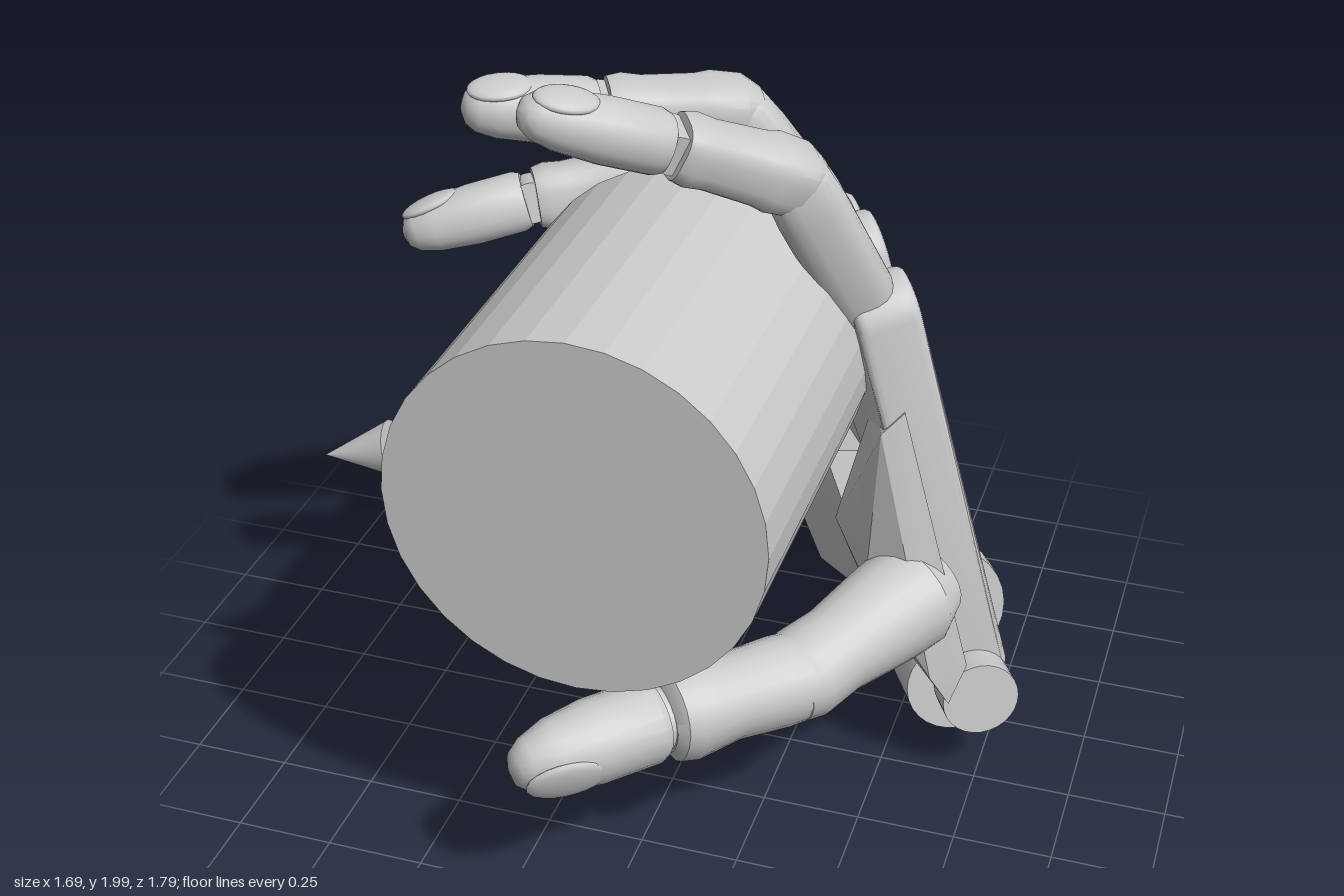
import * as THREE from 'three';
import { toCreasedNormals } from 'three/addons/utils/BufferGeometryUtils.js';
import { ConvexGeometry } from 'three/addons/geometries/ConvexGeometry.js';

const V3 = (x, y, z) => new THREE.Vector3(x, y, z);
const mat = new THREE.MeshStandardMaterial({ color: 0xcccccc });
const flatMat = new THREE.MeshStandardMaterial({ color: 0xcccccc, flatShading: true });

// Palm frame: u across (towards index side), v up the hand, n out of the palm
const O = V3(0.837, 0.3, -0.05);
const V = V3(-0.273, 0.957, 0.02).normalize();
const U = V3(0.45, 0.13, 0.88);
U.addScaledVector(V, -U.dot(V)).normalize();
const N = U.clone().cross(V);
const palmMatrix = new THREE.Matrix4().makeBasis(U, V, N).setPosition(O);

function mesh(name, geo, parent, material = mat) {
  const m = new THREE.Mesh(geo, material);
  m.name = name;
  parent.add(m);
  return m;
}

// Axes of a limb: z along it, y towards its back
function limbBasis(a, b, back) {
  const z = b.clone().sub(a).normalize();
  const y = back.clone().addScaledVector(z, -back.dot(z)).normalize();
  return { x: y.clone().cross(z), y, z };
}

// Loft of rounded-square sections; stations are [t, half width, half height]
function limb(name, a, b, back, stations, parent, power = 0.65) {
  const { x, y } = limbBasis(a, b, back);
  const sides = 20, pos = [], idx = [];
  const sq = (c) => Math.sign(c) * Math.pow(Math.abs(c), power);
  for (const [t, w, h] of stations) {
    const c = a.clone().lerp(b, t);
    for (let j = 0; j < sides; j++) {
      const q = ((j + 0.5) / sides) * Math.PI * 2;
      pos.push(...c.clone().addScaledVector(x, w * sq(Math.cos(q))).addScaledVector(y, h * sq(Math.sin(q))).toArray());
    }
  }
  const last = (stations.length - 1) * sides, c0 = pos.length / 3;
  for (const st of [stations[0], stations[stations.length - 1]]) pos.push(...a.clone().lerp(b, st[0]).toArray());
  for (let j = 0; j < sides; j++) {
    const k = (j + 1) % sides;
    for (let r = 0; r < last; r += sides) idx.push(r + j, r + k, r + sides + k, r + j, r + sides + k, r + sides + j);
    idx.push(c0, k, j, c0 + 1, last + j, last + k);
  }
  const g = new THREE.BufferGeometry();
  g.setAttribute('position', new THREE.Float32BufferAttribute(pos, 3));
  g.setIndex(idx);
  return mesh(name, toCreasedNormals(g, 0.6), parent);
}

function barrel(name, at, axis, r, len, parent) {
  const m = mesh(name, toCreasedNormals(new THREE.CylinderGeometry(r, r, len, 28), 0.6), parent);
  m.position.copy(at);
  m.quaternion.setFromUnitVectors(V3(0, 1, 0), axis);
  return m;
}

// Thin rounded nail sunk into the back of a tip
function nail(a, b, back, t, height, width, length, parent) {
  const { x, y, z } = limbBasis(a, b, back);
  const m = mesh('nail', new THREE.SphereGeometry(0.5, 20, 12), parent);
  m.scale.set(width, 0.04, length);
  m.quaternion.setFromRotationMatrix(new THREE.Matrix4().makeBasis(x, y, z));
  m.rotateX(0.16);
  m.position.copy(a).lerp(b, t).addScaledVector(y, height);
}

// Finger: knuckle, two beveled links and a rounded tip with a nail
function finger(name, pts, r) {
  const g = new THREE.Group();
  g.name = name;
  const [k, p, d, tip] = pts;
  const back = p.clone().sub(k.clone().lerp(tip, 0.5));
  const side = limbBasis(k, p, back).x;
  barrel('knuckle', k, side, r * 0.55, r * 1.4, g);
  limb('lowerLink', k, p, back, [[0.04, r * 0.6, r * 0.6], [0.12, r * 0.85, r * 0.8], [0.25, r, r * 0.95],
    [0.82, r * 0.93, r * 0.95], [1, r * 0.9, r * 0.88], [1.08, r * 0.7, r * 0.6]], g);
  limb('middleLink', p, d, back, [[-0.2, r * 0.6, r * 0.6], [-0.06, r * 0.9, r * 0.87], [0.18, r * 0.95, r * 0.93], [0.3, r * 0.86, r * 0.86],
    [0.7, r * 0.8, r * 0.8], [0.85, r * 0.86, r * 0.84], [0.96, r * 0.78, r * 0.76]], g);
  barrel('tipJoint', d, side, r * 0.55, r * 1.1, g);
  limb('fingertip', d, tip, back, [[0.04, r * 0.72, r * 0.72], [0.1, r * 0.82, r * 0.8], [0.45, r * 0.84, r * 0.8],
    [0.75, r * 0.76, r * 0.7], [0.9, r * 0.62, r * 0.55], [0.97, r * 0.42, r * 0.36], [1, r * 0.1, r * 0.1]], g, 0.88);
  nail(d, tip, back, 0.74, r * 0.58, r * 1.2, r * 1.65, g);
  return g;
}

function palm() {
  const g = new THREE.Group();
  g.name = 'palm';
  palmMatrix.decompose(g.position, g.quaternion, g.scale);

  // Back plate with three rounded knuckle columns, wrist tabs and slots
  const s = new THREE.Shape();
  s.moveTo(0, 0);
  [[-0.1, 0.1, 1.07, 0.9], [-0.38, 0.105, 1.115, 0.93], [-0.62, 0.1, 1.08, 0.62]].forEach(([u, r, v, after], i) => {
    if (i > 0) s.lineTo(u + r, 0.92);
    s.absarc(u, v, r, 0, Math.PI, false);
    s.lineTo(u - r, after);
  });
  [[-0.88, 0.42], [-0.9, 0], [-0.81, 0], [-0.81, 0.16], [-0.69, 0.16], [-0.69, 0], [-0.57, 0], [-0.57, 0.06],
    [-0.26, 0.06], [-0.26, 0], [-0.18, 0], [-0.18, 0.16], [-0.09, 0.16], [-0.09, 0]].forEach(([u, v]) => s.lineTo(u, v));
  const plate = new THREE.ExtrudeGeometry(s, { depth: 0.11, bevelThickness: 0.025, bevelSize: 0.02, bevelOffset: -0.02, bevelSegments: 3, curveSegments: 14 });
  mesh('backPlate', toCreasedNormals(plate, 0.6), g).position.z = 0.025;

  // Wrist: axle, rounded lugs and the large disc
  const X = V3(1, 0, 0);
  barrel('wristAxle', V3(-0.46, 0, 0.1), X, 0.06, 0.8, g);
  [[-0.048, 0.1, 0.09], [-0.18, 0.135, 0.15], [-0.63, 0.135, 0.11], [-0.81, 0.135, 0.16]]
    .forEach(([u, r, w]) => barrel('wristLug', V3(u, -0.015, r + 0.003), X, r, w, g));
  barrel('wristDisc', V3(-0.5, -0.011, 0.1), X, 0.197, 0.07, g);

  // Fleshy pads below the thumb and the little finger
  const hull = (name, pts) => mesh(name, toCreasedNormals(new ConvexGeometry(pts.map((p) => V3(...p))), 0.5), g);
  hull('thumbPad', [[-0.01, 0.84, 0.1], [-0.02, 0.8, 0.17], [-0.28, 0.78, 0.12], [-0.01, 0.45, 0.13], [-0.02, 0.38, 0.23], [0.03, 0.12, 0.12],
    [0.03, 0.12, 0.22], [0.02, 0.02, 0.19], [-0.3, 0.15, 0.27], [-0.3, 0.15, 0.1], [-0.27, 0.48, 0.31], [-0.08, 0.38, 0.3], [-0.12, 0.65, 0.24]]);
  hull('heelPad', [[-0.92, 0.1, 0.06], [-0.94, 0.42, 0.07], [-0.88, 0.02, 0.33], [-0.86, 0.34, 0.36], [-0.4, 0.06, 0.22],
    [-0.4, 0.28, 0.26], [-0.4, 0.08, 0.1], [-0.5, 0.48, 0.08], [-0.6, 0.5, 0.26], [-0.85, 0.05, 0.1]]);
  return g;
}

function thumb() {
  const g = new THREE.Group();
  g.name = 'thumb';
  const b = V3(0.555, 0.55, 0.0), m = V3(0.355, 0.49, 0.33), i = V3(0.08, 0.495, 0.6), t = V3(-0.19, 0.485, 0.875);
  const back = V3(0.5, -0.35, 0.6);
  limb('lowerLink', b, m, back, [[-0.2, 0.1, 0.1], [0, 0.15, 0.135], [0.25, 0.14, 0.13], [0.7, 0.115, 0.11],
    [0.98, 0.118, 0.115], [1.12, 0.1, 0.1], [1.2, 0.06, 0.06]], g, 0.9);
  limb('middleLink', m, i, back, [[-0.2, 0.07, 0.07], [-0.08, 0.11, 0.105], [0.15, 0.115, 0.11], [0.5, 0.108, 0.103],
    [0.8, 0.13, 0.118], [0.92, 0.12, 0.11], [0.97, 0.09, 0.085]], g, 0.9);
  limb('tipJoint', m, i, back, [[0.9, 0.08, 0.08], [1.1, 0.08, 0.08]], g, 0.9);
  limb('thumbTip', i, t, back, [[0.01, 0.095, 0.09], [0.06, 0.108, 0.1], [0.45, 0.108, 0.1], [0.72, 0.098, 0.085],
    [0.9, 0.075, 0.06], [0.97, 0.05, 0.04], [1, 0.01, 0.01]], g, 0.9);
  nail(i, t, back, 0.7, 0.072, 0.15, 0.2, g);
  return g;
}

export function createModel() {
  const model = new THREE.Group();
  model.name = 'handHoldingCylinder';

  model.add(palm(), thumb());
  model.add(finger('indexFinger', [V3(0.41, 1.25, -0.11), V3(0.245, 1.705, 0.085), V3(0.01, 1.83, 0.26), V3(-0.27, 1.955, 0.46)], 0.092));
  model.add(finger('middleFinger', [V3(0.285, 1.28, -0.35), V3(0.03, 1.74, -0.15), V3(-0.25, 1.77, 0.0), V3(-0.53, 1.81, 0.17)], 0.096));
  model.add(finger('ringFinger', [V3(0.175, 1.23, -0.57), V3(-0.28, 1.41, -0.4), V3(-0.54, 1.38, -0.26), V3(-0.84, 1.3, -0.12)], 0.097));
  model.add(finger('littleFinger', [V3(-0.09, 1.07, -0.65), V3(-0.35, 0.95, -0.29), V3(-0.44, 0.76, -0.08), V3(-0.57, 0.5, 0.2)], 0.09));

  // Hand bone that carries the little finger
  limb('littleFingerBase', V3(0.22, 0.4, -0.75), V3(-0.08, 1.1, -0.66), N.clone().negate(),
    [[-0.1, 0.09, 0.12], [0, 0.11, 0.14], [0.3, 0.105, 0.14], [0.92, 0.088, 0.125], [1, 0.08, 0.11], [1.04, 0.05, 0.08]], model, 0.45);

  // Held cylinder
  const held = mesh('heldCylinder', new THREE.CylinderGeometry(0.449, 0.449, 0.9, 32), model, flatMat);
  held.rotation.x = Math.PI / 2;
  held.position.set(-0.043, 1.161, 0.36);

  // Arrow pointing out of the cylinder
  const arrow = new THREE.Group();
  arrow.name = 'arrow';
  mesh('arrowShaft', new THREE.CylinderGeometry(0.03, 0.03, 0.62, 16), arrow).position.y = -0.46;
  mesh('arrowHead', new THREE.ConeGeometry(0.068, 0.17, 20), arrow).position.y = -0.085;
  arrow.position.set(-0.8, 0.997, 0.48);
  arrow.quaternion.setFromUnitVectors(V3(0, 1, 0), V3(-0.32, -0.07, 0.05).normalize());
  model.add(arrow);
  return model;
}
